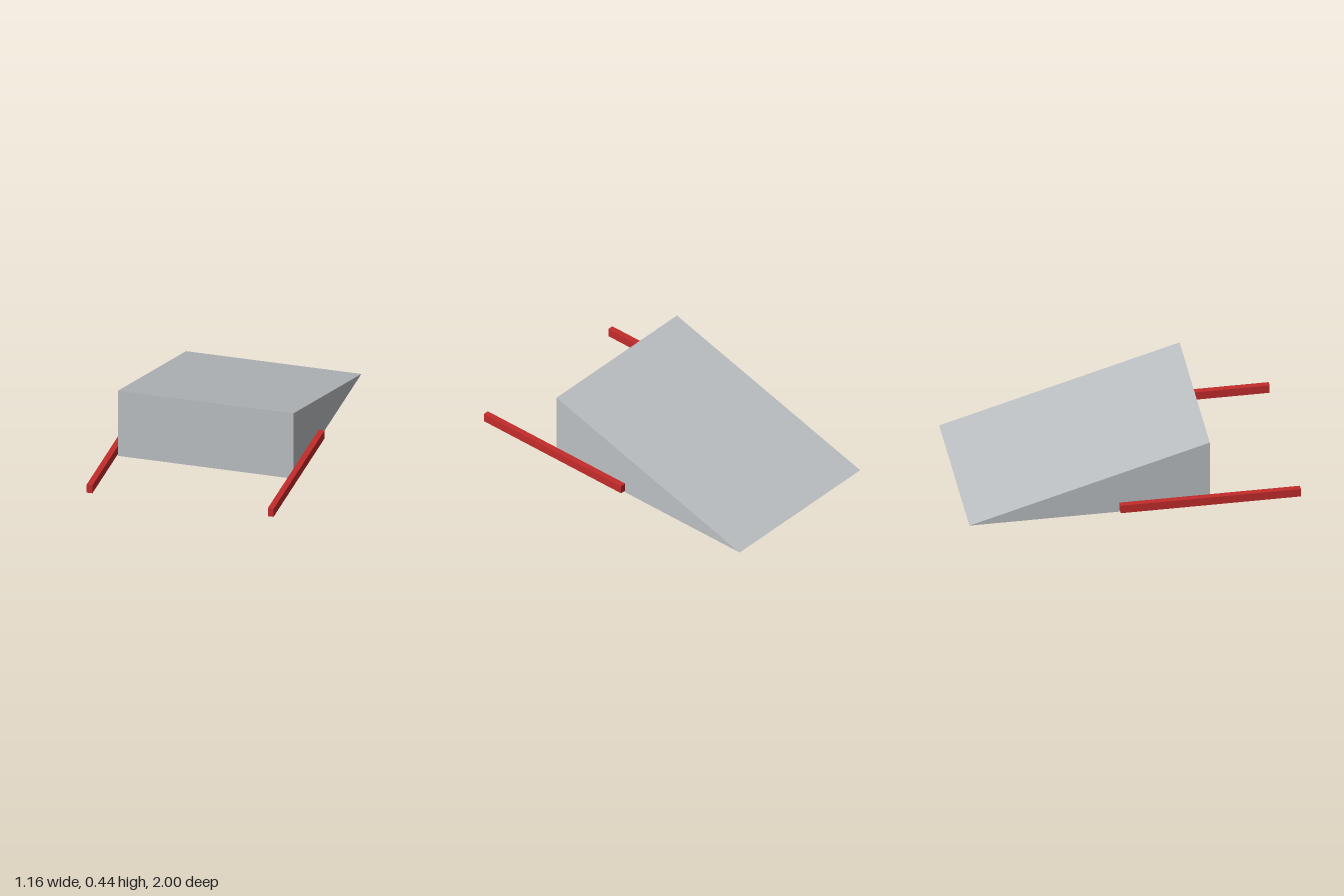
import * as THREE from 'three';

export function createModel() {
  const group = new THREE.Group();
  const grey = new THREE.MeshStandardMaterial({ color: 0xbcc0c3 });
  grey.name = 'ramp grey';
  const red = new THREE.MeshStandardMaterial({ color: 0xc42b2b });
  red.name = 'rail red';

  const halfWidth = 0.545;

  // Wedge: side profile drawn as (-z, y), extruded across the width
  const profile = new THREE.Shape([
    new THREE.Vector2(-0.455, 0),
    new THREE.Vector2(1, 0),
    new THREE.Vector2(-0.455, 0.435),
  ]);
  const wedge = new THREE.ExtrudeGeometry(profile, { depth: halfWidth * 2, bevelEnabled: false });
  wedge.translate(0, 0, -halfWidth);
  wedge.rotateY(Math.PI / 2);
  const ramp = new THREE.Mesh(wedge, grey);
  ramp.name = 'ramp';
  group.add(ramp);

  // Rails along both sides, reaching out past the tall end
  const railGeometry = new THREE.BoxGeometry(0.036, 0.053, 1.09);
  for (const [name, side] of [['leftRail', 1], ['rightRail', -1]]) {
    const rail = new THREE.Mesh(railGeometry, red);
    rail.name = name;
    rail.position.set(side * (halfWidth + 0.018), 0.0385, 0.455);
    group.add(rail);
  }
  return group;
}
